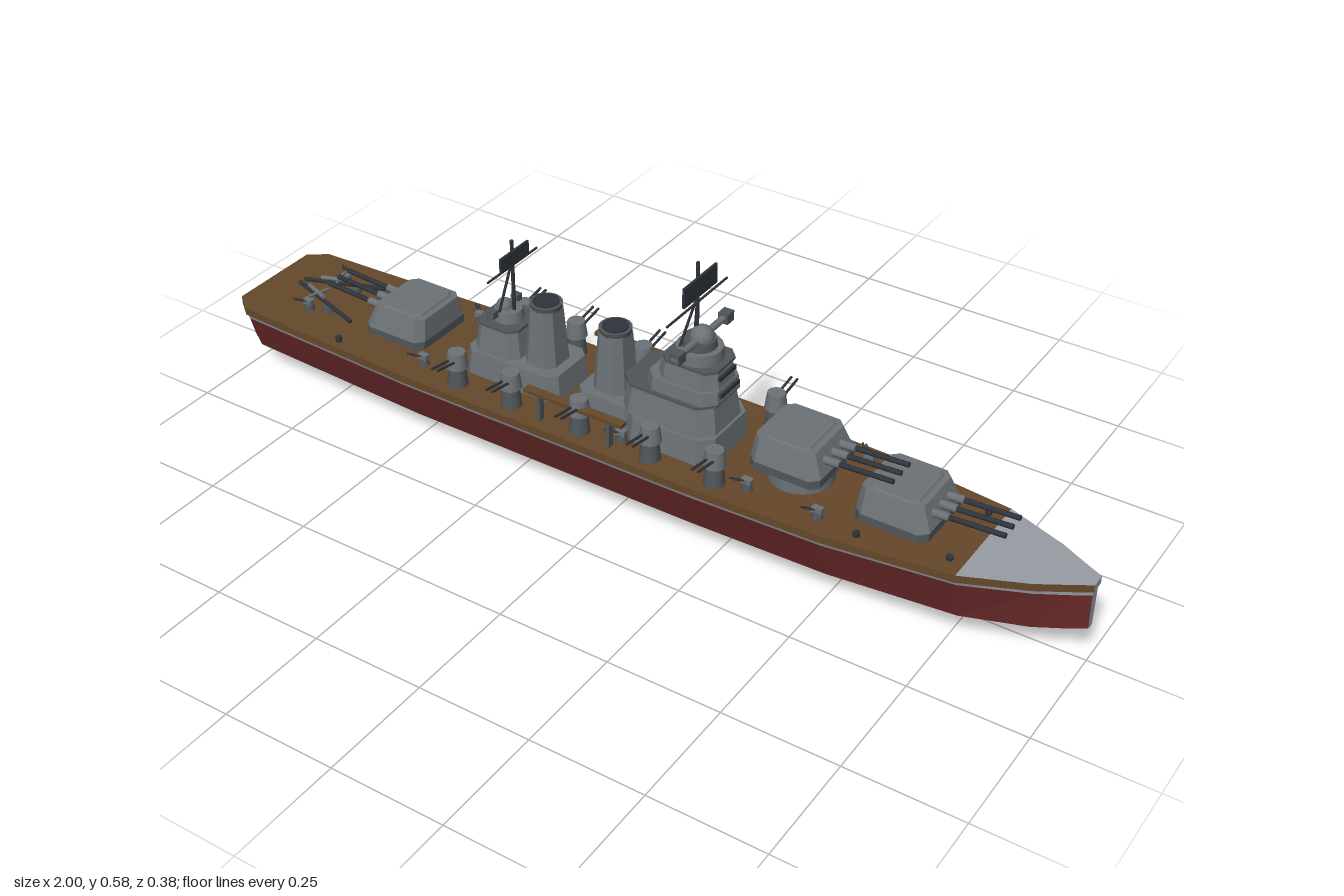
import * as THREE from 'three';

const mat = (name, color, side = THREE.FrontSide) => {
  const m = new THREE.MeshStandardMaterial({ color, side });
  m.name = name;
  return m;
};

export function createModel() {
  const ship = new THREE.Group();
  ship.name = 'warship';
  const hullGray = mat('hull gray', 0x989da4);
  const red = mat('antifouling red', 0x692929);
  const wood = mat('deck brown', 0x65482a);
  const steel = mat('superstructure gray', 0x6c7276);
  const trim = mat('trim gray', 0x50565a);
  const dark = mat('dark steel', 0x2f343b);

  const add = (name, geo, material, x = 0, y = 0, z = 0, parent = ship) => {
    const m = new THREE.Mesh(geo, material);
    m.name = name;
    m.position.set(x, y, z);
    parent.add(m);
    return m;
  };
  const group = (name, x, y, z, parent = ship) => {
    const g = new THREE.Group();
    g.name = name;
    g.position.set(x, y, z);
    parent.add(g);
    return g;
  };
  const box = (name, w, h, d, material, x, y, z, parent) =>
    add(name, new THREE.BoxGeometry(w, h, d), material, x, y, z, parent);
  const drum = (name, rTop, rBot, h, material, x, y, z, parent, n = 16) =>
    add(name, new THREE.CylinderGeometry(rTop, rBot, h, n), material, x, y + h / 2, z, parent);
  // Round bar between two points
  const bar = (name, a, b, r, material, parent) => {
    const p = new THREE.Vector3(...a), q = new THREE.Vector3(...b), d = q.clone().sub(p);
    const m = add(name, new THREE.CylinderGeometry(r, r, d.length(), 8), material, 0, 0, 0, parent);
    m.position.copy(p).add(q).multiplyScalar(0.5);
    m.quaternion.setFromUnitVectors(new THREE.Vector3(0, 1, 0), d.normalize());
    return m;
  };
  // Block with cut corners whose top is narrowed and shifted along x
  const block = (name, x0, x1, halfZ, y0, y1, tx, tz, material, cut = 0.02, shift = 0, parent = ship) => {
    const a = (x1 - x0) / 2, b = halfZ, c = cut, h = y1 - y0;
    const s = new THREE.Shape([[a, c - b], [a, b - c], [a - c, b], [c - a, b], [-a, b - c], [-a, c - b], [c - a, -b], [a - c, -b]]
      .map(p => new THREE.Vector2(...p)));
    const g = new THREE.ExtrudeGeometry(s, { depth: h, bevelEnabled: false }).rotateX(-Math.PI / 2);
    const p = g.attributes.position;
    for (let i = 0; i < p.count; i++)
      if (p.getY(i) > h / 2) p.setXYZ(i, p.getX(i) * tx + shift, h, p.getZ(i) * tz);
    g.computeVertexNormals();
    return add(name, g, material, (x0 + x1) / 2, y0, 0, parent);
  };
  const quads = (list) => {
    const v = [];
    for (const [a, b, c, d] of list) v.push(...a, ...b, ...c, ...a, ...c, ...d);
    const g = new THREE.BufferGeometry();
    g.setAttribute('position', new THREE.Float32BufferAttribute(v, 3));
    g.computeVertexNormals();
    return g;
  };

  // Hull stations: x, half beam, keel y, chine y, band y, deck y
  const stations = [
    [-1, 0.105, 0.03, 0.07, 0.148, 0.166], [-0.96, 0.137, 0.02, 0.065, 0.148, 0.165],
    [-0.5, 0.157, 0.006, 0.06, 0.148, 0.165], [0.2, 0.157, 0, 0.06, 0.148, 0.165],
    [0.5, 0.149, 0.016, 0.061, 0.15, 0.166], [0.77, 0.117, 0.036, 0.065, 0.155, 0.169],
    [0.9, 0.066, 0.054, 0.071, 0.16, 0.173], [0.97, 0.028, 0.073, 0.079, 0.163, 0.176],
    [0.997, 0.012, 0.081, 0.083, 0.165, 0.178]];
  const zScale = [0.23, 0.76, 0.955, 1];
  const pt = (s, level, side) => [s[0], s[2 + level], side * s[1] * zScale[level]];
  const pairs = stations.slice(1).map((s, i) => [stations[i], s]);
  const strake = (level, side) => quads(pairs.map(([s, t]) => {
    const q = [pt(s, level, side), pt(t, level, side), pt(t, level + 1, side), pt(s, level + 1, side)];
    return side > 0 ? q : q.reverse();
  }));
  for (const side of [1, -1]) for (let k = 0; k < 3; k++)
    add('hullStrake', strake(k, side), k === 0 || (k === 1 && side > 0) ? red : hullGray);
  add('hullBottom', quads(pairs.map(([s, t]) => [pt(s, 0, -1), pt(t, 0, -1), pt(t, 0, 1), pt(s, 0, 1)])), red);
  const endFace = (s, dir) => quads([0, 1, 2].map(k =>
    [pt(s, k, -dir), pt(s, k, dir), pt(s, k + 1, dir), pt(s, k + 1, -dir)]));
  add('transom', endFace(stations[0], 1), hullGray);
  add('stem', endFace(stations[8], -1), hullGray);

  // Deck slab, brown with a gray foredeck
  const dk = (s, side, top) => [Math.sign(s[0]) * Math.min(1, Math.abs(s[0]) + (Math.abs(s[0]) > 0.99 ? 0.003 : 0)),
    s[5] + (top ? 0.015 : -0.002), side * (s[1] + 0.004)];
  const top = ([s, t]) => [dk(s, 1, 1), dk(t, 1, 1), dk(t, -1, 1), dk(s, -1, 1)];
  add('mainDeck', quads(pairs.slice(0, 5).map(top)), wood);
  add('foredeck', quads(pairs.slice(5).map(top)), hullGray);
  for (const side of [1, -1]) add('deckEdge', quads(pairs.map(([s, t]) => {
    const q = [dk(s, side, 0), dk(t, side, 0), dk(t, side, 1), dk(s, side, 1)];
    return side > 0 ? q : q.reverse();
  })), wood);
  add('deckUnderside', quads(pairs.map(p => [dk(p[0], -1, 0), dk(p[1], -1, 0), dk(p[1], 1, 0), dk(p[0], 1, 0)])), wood);
  const deckEnd = (s, d) => quads([[dk(s, -d, 0), dk(s, d, 0), dk(s, d, 1), dk(s, -d, 1)]]);
  add('sternDeckEdge', deckEnd(stations[0], 1), wood);
  add('bowDeckEdge', deckEnd(stations[8], -1), hullGray);

  // Triple main turrets: x, base y, facing
  for (const [x, y, dir] of [[0.61, 0.18, 1], [0.375, 0.208, 1], [-0.59, 0.18, -1]]) {
    const t = group('mainTurret', x, y, 0);
    t.rotation.y = dir > 0 ? 0 : Math.PI;
    drum('barbette', 0.068, 0.068, y - 0.16, steel, 0, 0.172 - y, 0, t, 24);
    block('gunHouseBase', -0.078, 0.078, 0.084, 0.012, 0.03, 1, 1, trim, 0.015, 0, t);
    block('gunHouse', -0.078, 0.078, 0.084, 0.03, 0.079, 0.84, 0.84, steel, 0.018, -0.008, t);
    block('roofPlate', -0.06, 0.045, 0.062, 0.079, 0.083, 0.95, 0.95, steel, 0.012, 0, t);
    for (const z of [-0.032, 0, 0.032]) {
      bar('barrelSleeve', [0.05, 0.053, z], [0.1, 0.056, z], 0.009, steel, t);
      bar('gunBarrel', [0.09, 0.055, z], [0.215, 0.062, z], 0.0055, dark, t);
    }
  }

  // Bridge tower
  block('bridgeBase', 0.0, 0.215, 0.092, 0.178, 0.235, 0.96, 0.93, steel, 0.03);
  block('bridgeTierLow', -0.015, 0.205, 0.078, 0.235, 0.298, 0.92, 0.88, steel, 0.03);
  block('bridgeDeckLow', -0.012, 0.203, 0.074, 0.298, 0.304, 1, 1, trim, 0.03);
  block('bridgeTierMid', 0.04, 0.205, 0.067, 0.304, 0.332, 0.96, 0.95, steel, 0.025);
  block('bridgeTierHigh', 0.06, 0.2, 0.056, 0.332, 0.37, 0.92, 0.9, steel, 0.025);
  block('bridgeDeckHigh', 0.07, 0.198, 0.053, 0.37, 0.376, 1, 1, trim, 0.02);
  drum('conningDrum', 0.048, 0.05, 0.026, steel, 0.135, 0.374, 0, ship, 20);
  drum('directorBase', 0.034, 0.036, 0.018, trim, 0.135, 0.4, 0);
  for (const [x, y, w] of [[0.199, 0.355, 0.06], [0.205, 0.32, 0.07]])
    box('bridgeWindow', 0.006, 0.009, w, dark, x, y, 0);

  // Optical director with rangefinder arms
  const director = (x, y, half, r) => {
    const g = group('director', x, y, 0);
    add('directorDome', new THREE.SphereGeometry(r, 16, 10), steel, 0, 0, 0, g);
    bar('rangefinderArm', [0, 0, -half], [0, 0, half], r * 0.3, steel, g);
    for (const s of [1, -1]) box('rangefinderEnd', r * 0.9, r * 0.9, r, trim, 0, 0, s * (half - r / 2), g);
  };
  director(0.14, 0.42, 0.102, 0.025);
  director(-0.345, 0.325, 0.05, 0.018);

  // Tripod masts with yard and radar panel: x, foot y, top y, yard y, yard half, panel y, height, half width
  for (const [x, y0, y1, yy, yh, py, ph, pw] of [
    [0.128, 0.4, 0.585, 0.495, 0.11, 0.534, 0.044, 0.06],
    [-0.32, 0.31, 0.49, 0.431, 0.085, 0.453, 0.032, 0.048]]) {
    const g = group('mast', x, 0, 0);
    bar('mastPole', [0, y0, 0], [0, y1, 0], 0.004, dark, g);
    for (const s of [1, -1]) bar('mastLeg', [-0.022, y0, s * 0.028], [0, yy + 0.015, 0], 0.003, dark, g);
    bar('yard', [0, yy, -yh], [0, yy, yh], 0.0025, dark, g);
    box('radarPanel', 0.005, ph, pw * 2, dark, 0.005, py, 0, g);
  }

  // Aft superstructure
  block('aftHouse', -0.41, -0.17, 0.072, 0.178, 0.235, 0.95, 0.92, steel, 0.02);
  block('aftTier', -0.395, -0.28, 0.058, 0.235, 0.296, 0.84, 0.84, steel, 0.02);
  block('aftPlatform', -0.388, -0.285, 0.053, 0.296, 0.302, 1, 1, trim, 0.018);
  drum('aftDirectorBase', 0.03, 0.034, 0.022, steel, -0.335, 0.302, 0);

  // Funnels
  block('funnelHouse', -0.13, 0.02, 0.068, 0.178, 0.232, 0.94, 0.92, steel, 0.02);
  for (const x of [-0.237, -0.065]) {
    const g = group('funnel', x, 0, 0);
    block('funnelBody', -0.041, 0.041, 0.044, 0.2, 0.362, 0.72, 0.74, steel, 0.018, 0, g);
    drum('funnelCap', 0.035, 0.033, 0.012, trim, 0, 0.36, 0, g);
    drum('funnelMouth', 0.028, 0.028, 0.004, dark, 0, 0.371, 0, g);
  }

  // Twin flak mounts, light guns, boats and bollards on both sides
  for (const s of [1, -1]) {
    for (const x of [-0.385, -0.246, -0.075, 0.096, 0.246]) {
      const g = group('flakMount', x, 0, s * 0.118);
      drum('flakPedestal', 0.018, 0.023, 0.05, trim, 0, 0.175, 0, g, 12);
      drum('flakHouse', 0.019, 0.024, 0.036, steel, 0, 0.224, 0, g, 12);
      for (const dx of [-0.007, 0.007])
        bar('flakBarrel', [dx, 0.243, s * 0.01], [dx, 0.254, s * 0.073], 0.0028, dark, g);
    }
    for (const [x, z] of [[-0.49, 0.1], [-0.84, 0.065], [0.015, 0.1], [0.31, 0.1], [0.47, 0.105]]) {
      const g = group('lightGun', x, 0.178, s * z);
      drum('lightGunBase', 0.009, 0.013, 0.018, trim, 0, 0, 0, g, 10);
      box('lightGunShield', 0.022, 0.012, 0.014, steel, 0, 0.022, 0, g);
      for (const dx of [-0.004, 0.004])
        bar('lightGunBarrel', [dx, 0.022, 0], [dx - 0.024, 0.03, s * 0.02], 0.002, dark, g);
    }
    const boat = group('boat', -0.08, 0, s * 0.128);
    box('boatGunwale', 0.24, 0.008, 0.02, wood, 0, 0.243, 0, boat);
    for (const dx of [-0.085, 0.085]) box('boatCradle', 0.008, 0.064, 0.014, trim, dx, 0.208, 0, boat);
    for (const [x, z] of [[0.74, 0.083], [0.56, 0.115], [-0.7, 0.13]]) drum('bollard', 0.007, 0.007, 0.014, dark, x, 0.178, s * z, ship, 10);
    // Aircraft catapult with its floatplane
    bar('catapultRail', [-0.915, 0.196, s * 0.008], [-0.71, 0.199, s * 0.078], 0.005, dark);
    drum('catapultPivot', 0.012, 0.014, 0.016, trim, -0.8, 0.178, s * 0.047, ship, 12);
    bar('planeBody', [-0.875, 0.207, s * 0.02], [-0.815, 0.207, s * 0.042], 0.005, steel);
    bar('planeWing', [-0.842, 0.21, s * 0.062], [-0.826, 0.21, s * 0.012], 0.003, steel);
  }
  return ship;
}
